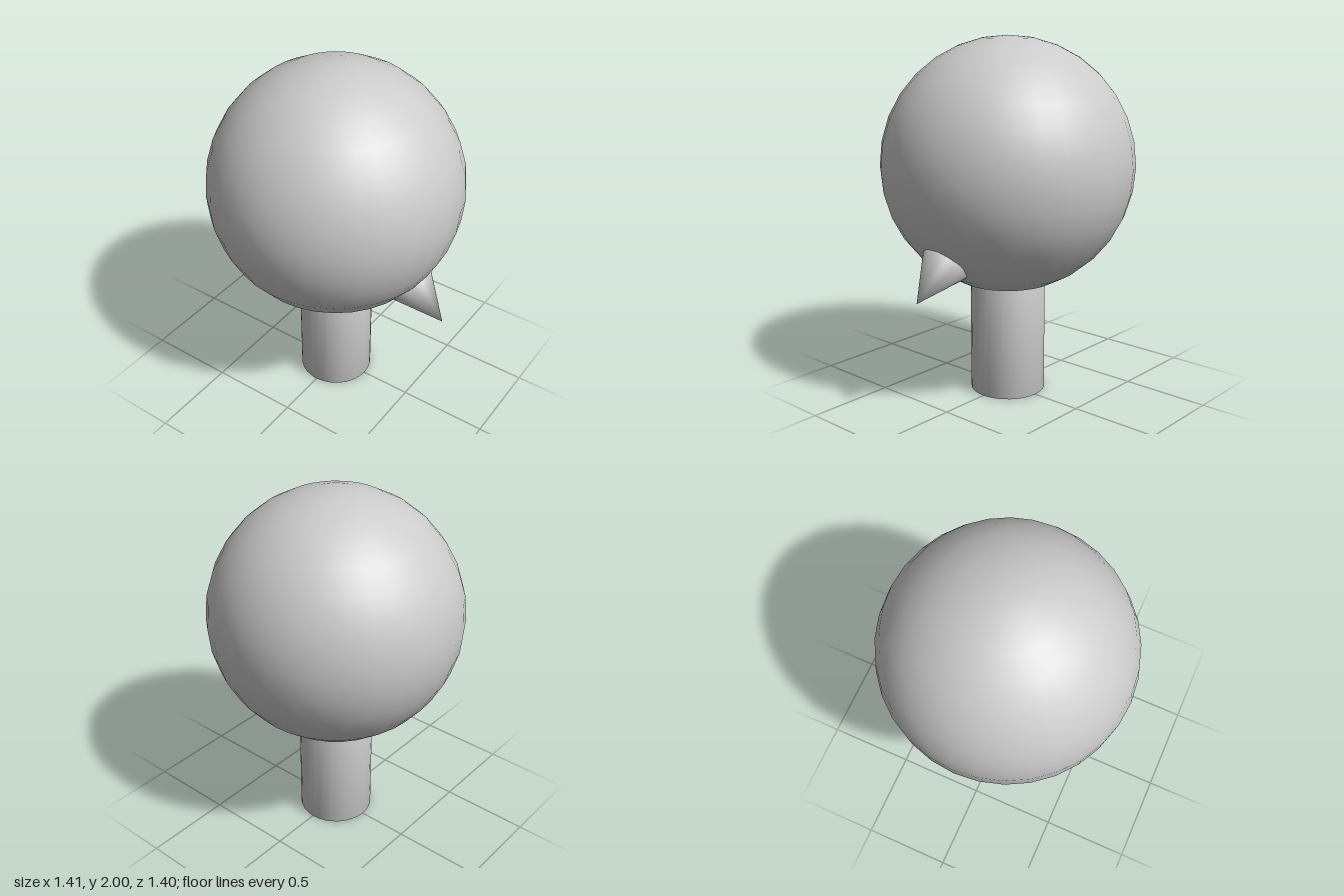
import * as THREE from 'three';
import { mergeVertices } from 'three/addons/utils/BufferGeometryUtils.js';

const material = new THREE.MeshStandardMaterial({ color: 0xcccccc });

// Weld the seams and rims so the shading runs smoothly over the whole part
function smooth(geometry) {
  geometry.deleteAttribute('uv');
  geometry.deleteAttribute('normal');
  const welded = mergeVertices(geometry, 1e-4);
  welded.computeVertexNormals();
  return welded;
}

function part(name, geometry, x, y) {
  const mesh = new THREE.Mesh(smooth(geometry), material);
  mesh.name = name;
  mesh.position.set(x, y, 0);
  return mesh;
}

export function createModel() {
  const group = new THREE.Group();
  group.name = 'sphereOnPost';
  const cx = -0.003;

  // Round head
  group.add(part('head', new THREE.SphereGeometry(0.7, 32, 16), cx, 1.3));

  // Post, its top sunk into the head
  group.add(part('post', new THREE.CylinderGeometry(0.21, 0.21, 0.7, 32), cx, 0.35));

  // Spike pointing down and outwards, its base sunk into the head
  const height = 0.28;
  const angle = THREE.MathUtils.degToRad(-39.5);
  const spike = part('spike', new THREE.ConeGeometry(0.14, height, 32),
    0.703 - Math.cos(angle) * height / 2, 0.667 - Math.sin(angle) * height / 2);
  spike.rotation.z = angle - Math.PI / 2;
  group.add(spike);

  return group;
}
